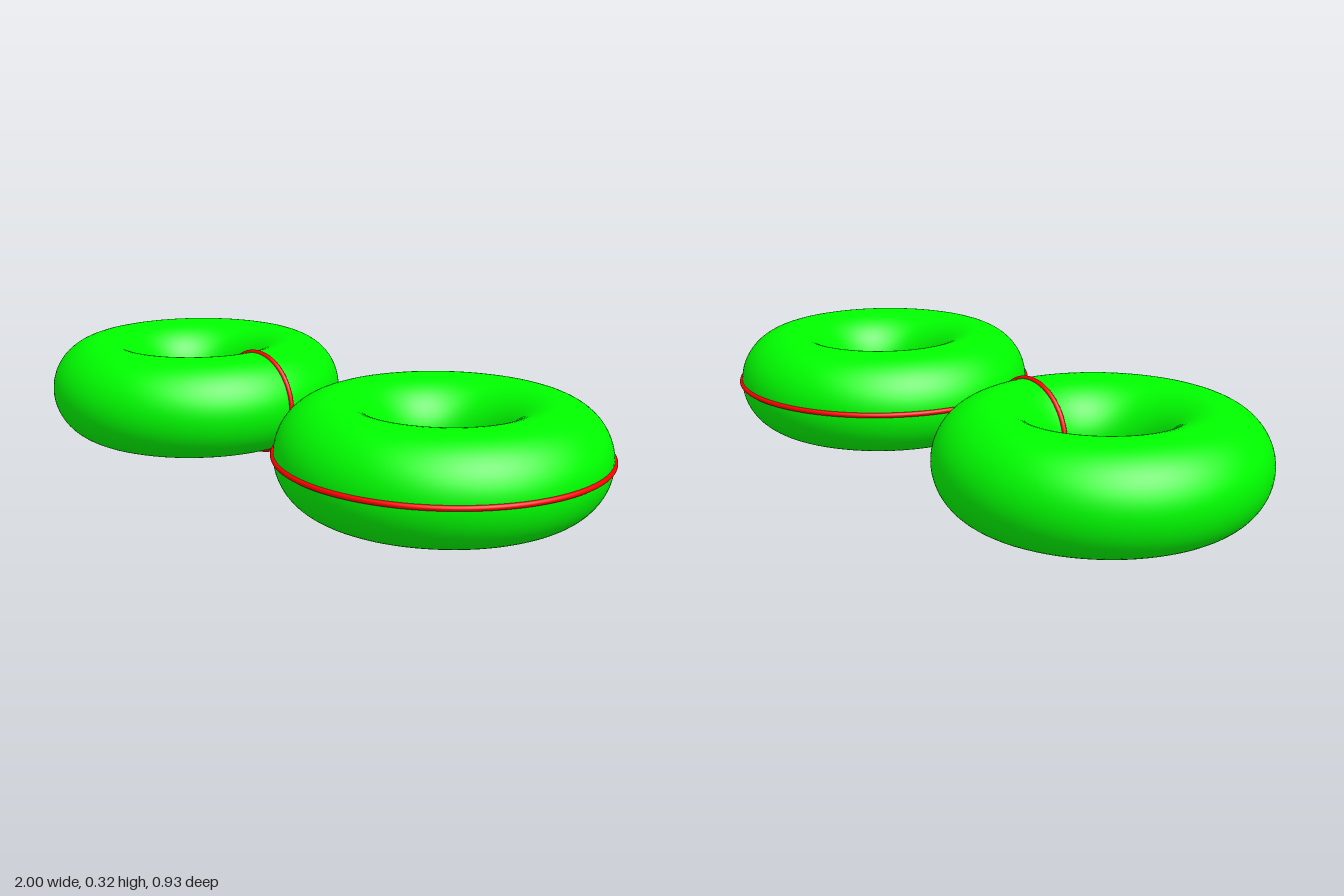
import * as THREE from 'three';

const UNIT = 2 / 13.05;       // the pair spans 13.05 units across
const MAJOR = 2 * UNIT;       // torus centreline radius
const MINOR = UNIT;           // torus tube radius
const WIRE = 0.05 * UNIT;     // thickness of the marker circles
const LEVEL = MINOR + WIRE;   // height of the torus centres

const green = new THREE.MeshStandardMaterial({ color: 0x00ff00 });
const red = new THREE.MeshStandardMaterial({ color: 0xff0000 });

function ring(name, radius, tube, sides, segments, material) {
  const mesh = new THREE.Mesh(new THREE.TorusGeometry(radius, tube, sides, segments), material);
  mesh.name = name;
  return mesh;
}

// A torus lying flat, in a group placed at the given x
function flatTorus(name, x) {
  const group = new THREE.Group();
  group.name = name;
  group.position.set(x, LEVEL, 0);
  const body = ring('torusBody', MAJOR, MINOR, 64, 128, green);
  body.rotation.x = -Math.PI / 2;
  group.add(body);
  return group;
}

export function createModel() {
  const model = new THREE.Group();
  model.name = 'torusCircles';

  // Torus with a circle looping around its tube
  const right = flatTorus('torusWithTubeCircle', -1 + MAJOR + MINOR);
  const loop = ring('tubeCircle', MINOR, WIRE, 16, 128, red);
  loop.position.x = MAJOR;
  right.add(loop);

  // Torus with a circle running around its outer equator
  const left = flatTorus('torusWithEquatorCircle', 1 - MAJOR - MINOR - WIRE);
  const equator = ring('equatorCircle', MAJOR + MINOR, WIRE, 16, 128, red);
  equator.rotation.x = -Math.PI / 2;
  left.add(equator);

  model.add(right, left);
  return model;
}
